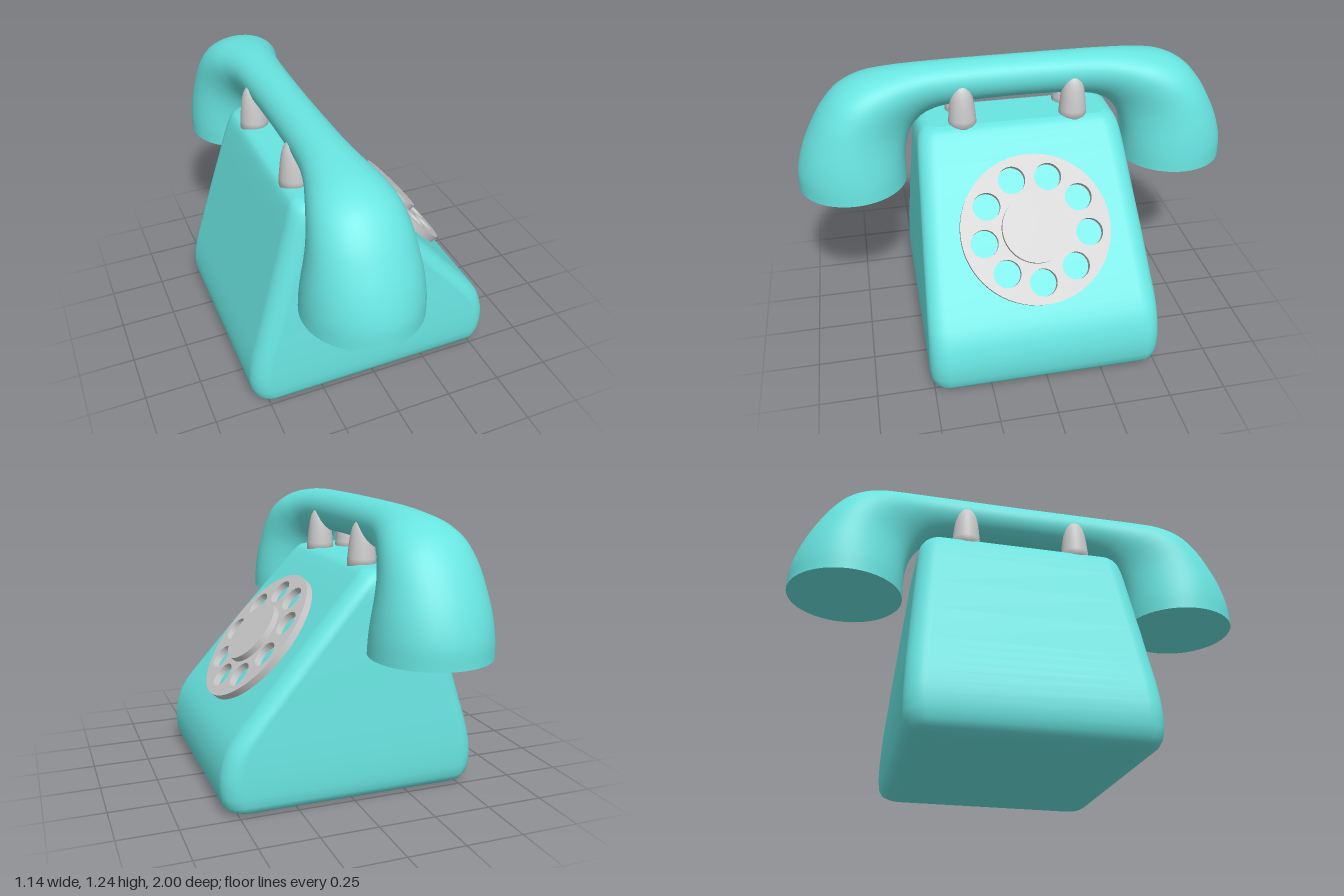
import * as THREE from 'three';
import { toCreasedNormals } from 'three/addons/utils/BufferGeometryUtils.js';

const teal = new THREE.MeshStandardMaterial({ color: 0x68e4e0 });
const grey = new THREE.MeshStandardMaterial({ color: 0xcccccc });

// Smooth skin over closed rings of equal length, with flat end caps.
function loft(rings) {
  const n = rings[0].length, pos = [], index = [];
  rings.forEach(ring => ring.forEach(p => pos.push(...p)));
  for (let i = 0; i < rings.length - 1; i++) {
    for (let j = 0; j < n; j++) {
      const k = (j + 1) % n, a = i * n, b = a + n;
      index.push(a + j, a + k, b + k, a + j, b + k, b + j);
    }
  }
  [rings[0], rings[rings.length - 1]].forEach((ring, end) => {
    const base = pos.length / 3;
    ring.forEach(p => pos.push(...p));
    pos.push(...[0, 1, 2].map(c => ring.reduce((s, p) => s + p[c], 0) / n));
    for (let j = 0; j < n; j++) {
      const k = (j + 1) % n;
      index.push(base + n, base + (end ? j : k), base + (end ? k : j));
    }
  });
  const g = new THREE.BufferGeometry();
  g.setAttribute('position', new THREE.Float32BufferAttribute(pos, 3));
  g.setIndex(index);
  g.computeVertexNormals();
  return g;
}

function add(parent, name, geometry, material) {
  const mesh = new THREE.Mesh(geometry, material);
  mesh.name = name;
  parent.add(mesh);
  return mesh;
}

// Horizontal rounded rectangle from x0 to x1, half depth hz, corner radius r.
function roundedRing([y, x0, x1, hz, r]) {
  const ring = [], steps = 8;
  for (let c = 0; c < 4; c++) {
    const cx = c === 0 || c === 3 ? x1 - r : x0 + r;
    const cz = c < 2 ? -hz + r : hz - r;
    for (let s = 0; s <= steps; s++) {
      const a = (c + s / steps) * Math.PI / 2;
      ring.push([cx + r * Math.cos(a), y, cz - r * Math.sin(a)]);
    }
  }
  return ring;
}

function bodyGeometry() {
  // y, x min, x max, half depth, corner radius
  return loft([
    [0.004, -0.47, 0.47, 0.43, 0.04],
    [0.009, -0.51, 0.51, 0.47, 0.06],
    [0.025, -0.54, 0.54, 0.495, 0.07],
    [0.05, -0.558, 0.558, 0.508, 0.075],
    [0.09, -0.569, 0.568, 0.514, 0.08],
    [0.14, -0.572, 0.571, 0.515, 0.08],
    [0.19, -0.567, 0.567, 0.514, 0.08],
    [0.24, -0.557, 0.554, 0.512, 0.08],
    [0.28, -0.547, 0.538, 0.51, 0.08],
    [0.32, -0.535, 0.513, 0.508, 0.08],
    [0.36, -0.523, 0.481, 0.505, 0.08],
    [0.40, -0.511, 0.447, 0.502, 0.08],
    [0.55, -0.467, 0.317, 0.492, 0.08],
    [0.70, -0.422, 0.185, 0.48, 0.08],
    [0.86, -0.374, 0.044, 0.468, 0.08],
    [0.91, -0.358, -0.002, 0.462, 0.08],
    [0.94, -0.347, -0.03, 0.454, 0.075],
    [0.96, -0.337, -0.05, 0.442, 0.07],
    [0.972, -0.325, -0.066, 0.428, 0.06],
    [0.979, -0.305, -0.09, 0.405, 0.05],
  ].map(roundedRing));
}

function handsetGeometry() {
  // outer z, outer y, inner z, inner y, half width, egg factor: cup to middle
  const half = [
    [1.0, 0.70, 0.514, 0.70, 0.243, 0],
    [0.995, 0.79, 0.514, 0.765, 0.239, 0.02],
    [0.965, 0.89, 0.512, 0.82, 0.228, 0.08],
    [0.92, 0.985, 0.505, 0.87, 0.211, 0.16],
    [0.865, 1.075, 0.49, 0.92, 0.192, 0.25],
    [0.79, 1.155, 0.465, 0.965, 0.172, 0.3],
    [0.69, 1.205, 0.43, 1.0, 0.148, 0.3],
    [0.57, 1.228, 0.385, 1.025, 0.122, 0.25],
    [0.42, 1.24, 0.32, 1.043, 0.104, 0.15],
    [0.22, 1.244, 0.18, 1.056, 0.097, 0.08],
    [0, 1.245, 0, 1.06, 0.095, 0.05],
  ];
  const mirrored = half.slice(0, -1).reverse().map(([oz, oy, iz, iy, w, k]) => [-oz, oy, -iz, iy, w, k]);
  const all = [...half, ...mirrored];
  const outer = new THREE.CatmullRomCurve3(all.map(s => new THREE.Vector3(s[4], s[1], s[0])), false, 'catmullrom');
  const inner = new THREE.CatmullRomCurve3(all.map(s => new THREE.Vector3(s[5], s[3], s[2])), false, 'catmullrom');
  const rings = [], steps = 80, sides = 48;
  for (let i = 0; i <= steps; i++) {
    const o = outer.getPoint(i / steps), n = inner.getPoint(i / steps), ring = [];
    for (let j = 0; j < sides; j++) {
      const a = j / sides * Math.PI * 2, c = Math.cos(a), f = (1 + c) / 2;
      ring.push([
        o.x * Math.sin(a) * (1 + n.x * c),
        n.y + (o.y - n.y) * f,
        n.z + (o.z - n.z) * f,
      ]);
    }
    rings.push(ring);
  }
  return loft(rings);
}

function createDial() {
  const dial = new THREE.Group();
  dial.name = 'dial';
  const disc = new THREE.Shape().absarc(0, 0, 0.33, 0, Math.PI * 2);
  // nine finger holes, the first pointing downhill
  for (let i = 0; i < 9; i++) {
    const a = -Math.PI / 2 + i * Math.PI * 2 / 9;
    disc.holes.push(new THREE.Path().absarc(0.235 * Math.cos(a), 0.235 * Math.sin(a), 0.06, 0, Math.PI * 2, true));
  }
  const wheel = new THREE.ExtrudeGeometry(disc, { depth: 0.032, bevelEnabled: false, curveSegments: 32 });
  add(dial, 'fingerWheel', toCreasedNormals(wheel, 0.6), grey);
  const hub = add(dial, 'dialHub', new THREE.CylinderGeometry(0.152, 0.152, 0.06, 48), grey);
  hub.rotation.x = Math.PI / 2;
  hub.position.z = 0.03;
  // lie on the sloping face
  const normal = new THREE.Vector3(0.75, 0.66, 0).normalize();
  const uphill = new THREE.Vector3(-normal.y, normal.x, 0);
  const side = new THREE.Vector3().crossVectors(uphill, normal);
  dial.quaternion.setFromRotationMatrix(new THREE.Matrix4().makeBasis(side, uphill, normal));
  dial.position.set(0.258, 0.619, 0);
  return dial;
}

export function createModel() {
  const phone = new THREE.Group();
  phone.name = 'telephone';
  add(phone, 'body', bodyGeometry(), teal);
  add(phone, 'handset', handsetGeometry(), teal).position.x = -0.195;
  phone.add(createDial());

  // four rounded cradle pegs
  const profile = [[0, 0], [0.064, 0], [0.062, 0.05], [0.056, 0.11], [0.05, 0.15], [0.042, 0.18], [0.03, 0.201], [0.015, 0.212], [0, 0.215]];
  const peg = new THREE.LatheGeometry(profile.map(p => new THREE.Vector2(...p)), 32);
  for (const dx of [-1, 1]) {
    for (const dz of [-1, 1]) {
      add(phone, 'cradlePeg', peg, grey).position.set(-0.197 + dx * 0.073, 0.95, dz * 0.252);
    }
  }
  return phone;
}
